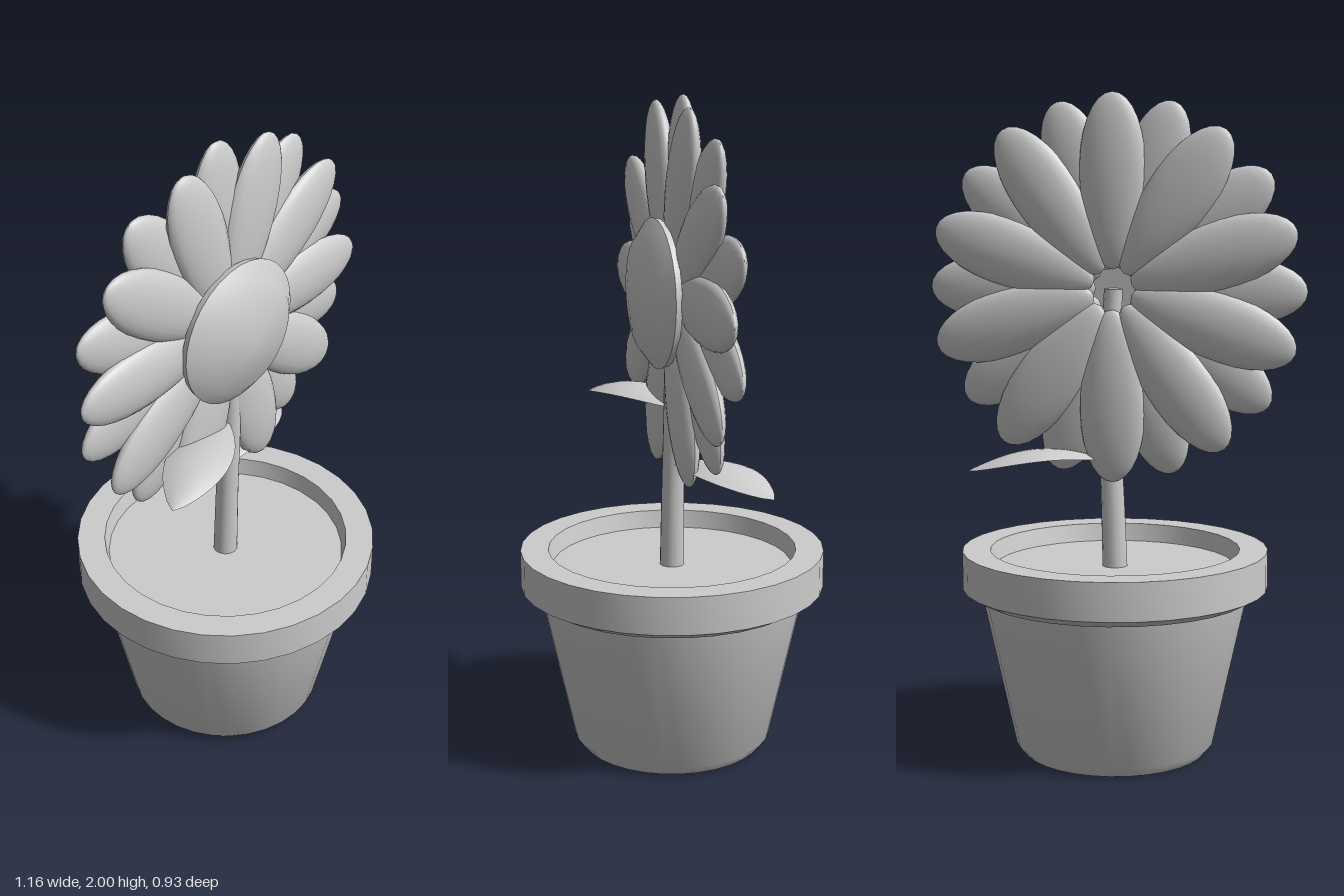
import * as THREE from 'three';
import { toCreasedNormals } from 'three/addons/utils/BufferGeometryUtils.js';

const clay = new THREE.MeshStandardMaterial({ color: 0xcccccc });
clay.name = 'plain grey';
const thinClay = new THREE.MeshStandardMaterial({ color: 0xcccccc, side: THREE.DoubleSide });
thinClay.name = 'plain grey leaf';

function part(name, geometry, material = clay) {
  const mesh = new THREE.Mesh(geometry, material);
  mesh.name = name;
  return mesh;
}

function lathe(points, sides, crease) {
  const profile = points.map(([r, y]) => new THREE.Vector2(r, y));
  return toCreasedNormals(new THREE.LatheGeometry(profile, sides), crease);
}

// Plump petal along +x, a little narrower towards the flower's middle
function petalGeometry() {
  const g = new THREE.SphereGeometry(1, 20, 16);
  g.rotateZ(-Math.PI / 2);
  const p = g.attributes.position;
  for (let i = 0; i < p.count; i++) {
    const x = p.getX(i);
    const taper = 1 + 0.13 * x;
    p.setXYZ(i, 0.32 + 0.26 * x, p.getY(i) * 0.1 * taper, p.getZ(i) * 0.042);
  }
  g.computeVertexNormals();
  return g;
}

// Tube whose rings shrink towards the top
function stemGeometry(curve, r0, r1) {
  const rows = 24, sides = 14;
  const g = new THREE.TubeGeometry(curve, rows, 1, sides);
  const p = g.attributes.position, v = new THREE.Vector3();
  for (let i = 0; i < p.count; i++) {
    const t = Math.floor(i / (sides + 1)) / rows;
    const c = curve.getPointAt(t);
    v.fromBufferAttribute(p, i).sub(c).multiplyScalar(r0 + (r1 - r0) * t).add(c);
    p.setXYZ(i, v.x, v.y, v.z);
  }
  return g;
}

// Arched leaf along +x with drooping edges and a pointed tip
function leafGeometry(length, halfWidth) {
  const g = new THREE.PlaneGeometry(1, 2, 16, 8);
  g.rotateX(-Math.PI / 2);
  const p = g.attributes.position;
  for (let i = 0; i < p.count; i++) {
    const t = p.getX(i) + 0.5, s = p.getZ(i);
    const w = halfWidth * Math.pow(Math.sin(Math.PI * Math.pow(t, 1.1)), 0.8);
    const arch = 0.045 * Math.sin(Math.PI * t) - 0.02 * t * t;
    p.setXYZ(i, t * length, arch - 0.022 * s * s * (w / halfWidth), s * (w || 0));
  }
  g.computeVertexNormals();
  return g;
}

export function createModel() {
  const model = new THREE.Group();
  model.name = 'pottedFlower';

  // Pot with a thick bevelled rim, open at the top
  model.add(part('pot', lathe([
    [0, 0], [0.28, 0], [0.305, 0.03], [0.405, 0.49], [0.42, 0.49],
    [0.465, 0.515], [0.465, 0.63], [0.38, 0.63], [0.365, 0.56]
  ], 32, 0.75)));

  const soil = part('soil', new THREE.CircleGeometry(0.37, 32));
  soil.rotation.x = -Math.PI / 2;
  soil.position.y = 0.575;
  model.add(soil);

  // Slightly bent stem, closed at the top
  const curve = new THREE.CatmullRomCurve3([
    [0, 0.56, 0], [0.008, 0.8, 0], [0.022, 1.1, 0], [0.005, 1.42, 0]
  ].map(c => new THREE.Vector3(...c)));
  model.add(part('stem', stemGeometry(curve, 0.038, 0.028)));
  const cap = part('stemTop', new THREE.CircleGeometry(0.028, 14));
  cap.rotation.x = -Math.PI / 2;
  cap.position.set(0.005, 1.42, 0);
  model.add(cap);

  // Flower head: two staggered rings of ten petals
  const head = new THREE.Group();
  head.name = 'flowerHead';
  head.position.y = 1.42;
  const petal = petalGeometry();
  for (let i = 0; i < 20; i++) {
    const back = i % 2 === 1;
    const mesh = part(back ? 'backPetal' : 'frontPetal', petal);
    mesh.rotation.z = i * Math.PI / 10;
    mesh.position.z = back ? -0.034 : 0;
    head.add(mesh);
  }

  // Domed middle facing the front
  const disc = part('flowerCentre', lathe([
    [0, 0.035], [0.22, 0.035], [0.225, 0.055], [0.17, 0.096], [0, 0.125]
  ], 32, 0.8));
  disc.rotation.x = Math.PI / 2;
  head.add(disc);
  model.add(head);

  // One leaf to each side at different heights
  const addLeaf = (name, length, x, y, angle) => {
    const leaf = part(name, leafGeometry(length, 0.095), thinClay);
    leaf.position.set(x, y, 0);
    leaf.rotation.y = angle;
    model.add(leaf);
  };
  addLeaf('leftLeaf', 0.435, 0.015, 0.9, 0.43);
  addLeaf('rightLeaf', 0.43, 0.01, 1.07, Math.PI + 0.36);

  return model;
}
